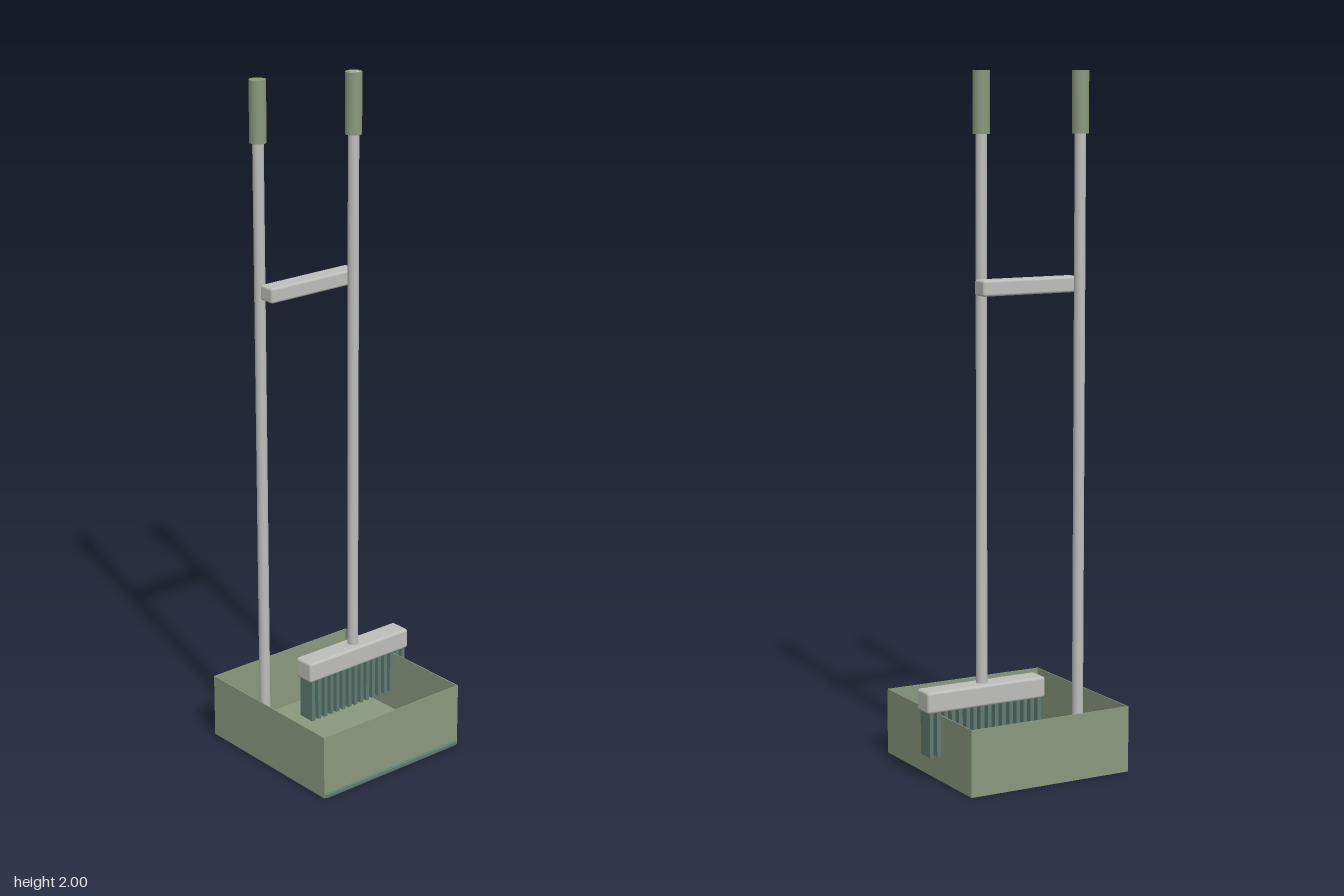
import * as THREE from 'three';
import { RoundedBoxGeometry } from 'three/addons/geometries/RoundedBoxGeometry.js';

const material = (name, color) => {
  const m = new THREE.MeshStandardMaterial({ color });
  m.name = name;
  return m;
};

export function createModel() {
  const sage = material('sage green', 0x8a997e);
  const grey = material('light grey', 0xbdbdbb);
  const teal = material('dark teal', 0x5f7b71);

  const add = (parent, name, geometry, mat, x, y, z) => {
    const mesh = new THREE.Mesh(geometry, mat);
    mesh.name = name;
    mesh.position.set(x, y, z);
    parent.add(mesh);
    return mesh;
  };
  // Box given by its minimum and maximum corners, rounded if radius > 0
  const box = (parent, name, mat, x0, x1, y0, y1, z0, z1, radius = 0) => {
    const size = [x1 - x0, y1 - y0, z1 - z0];
    const geometry = radius
      ? new RoundedBoxGeometry(...size, 3, radius)
      : new THREE.BoxGeometry(...size);
    return add(parent, name, geometry, mat, (x0 + x1) / 2, (y0 + y1) / 2, (z0 + z1) / 2);
  };
  const group = (name) => {
    const g = new THREE.Group();
    g.name = name;
    return g;
  };
  // Upright pole with a grip sleeve at the top
  const handle = (parent, x, z, bottom, poleTop) => {
    const h = poleTop - bottom;
    add(parent, 'pole', new THREE.CylinderGeometry(0.016, 0.016, h, 32), grey, x, bottom + h / 2, z);
    add(parent, 'grip', new THREE.CylinderGeometry(0.024, 0.024, 0.175, 32), sage, x, 1.9125, z);
  };

  const model = group('dustpanAndBroom');

  // Dustpan: open tray with thin walls
  const pan = group('dustpan');
  const x0 = -0.28, x1 = 0.234, z0 = -0.26, z1 = 0.254, top = 0.195, t = 0.003;
  box(pan, 'panFloor', sage, x0, x1, 0.002, 0.008, z0, z1);
  box(pan, 'backWall', sage, x0, x1, 0.002, top, z0, z0 + t);
  box(pan, 'frontWall', sage, x0, x1, 0.002, top, z1 - t, z1);
  box(pan, 'rightWall', sage, x0, x0 + t, 0.002, top, z0 + t, z1 - t);
  box(pan, 'leftWall', sage, x1 - t, x1, 0.002, top, z0 + t, z1 - t);
  box(pan, 'rubberLip', teal, -0.276, 0.229, 0, 0.015, 0.235, 0.259, 0.004);
  handle(pan, -0.18, -0.143, 0.008, 1.99);
  box(pan, 'handleClip', grey, -0.19, 0.122, 1.38, 1.425, -0.13, -0.076, 0.007);
  model.add(pan);

  // Broom resting in the pan
  const broom = group('broom');
  handle(broom, 0.087, -0.054, 0.25, 2);
  box(broom, 'broomHead', grey, -0.105, 0.279, 0.204, 0.266, -0.088, -0.02, 0.008);
  for (let i = 0; i < 16; i++) {
    const x = -0.089 + i * 0.0235;
    box(broom, 'bristleTuft', teal, x - 0.006, x + 0.006, 0.075, 0.21, -0.08, -0.025);
  }
  model.add(broom);

  return model;
}
